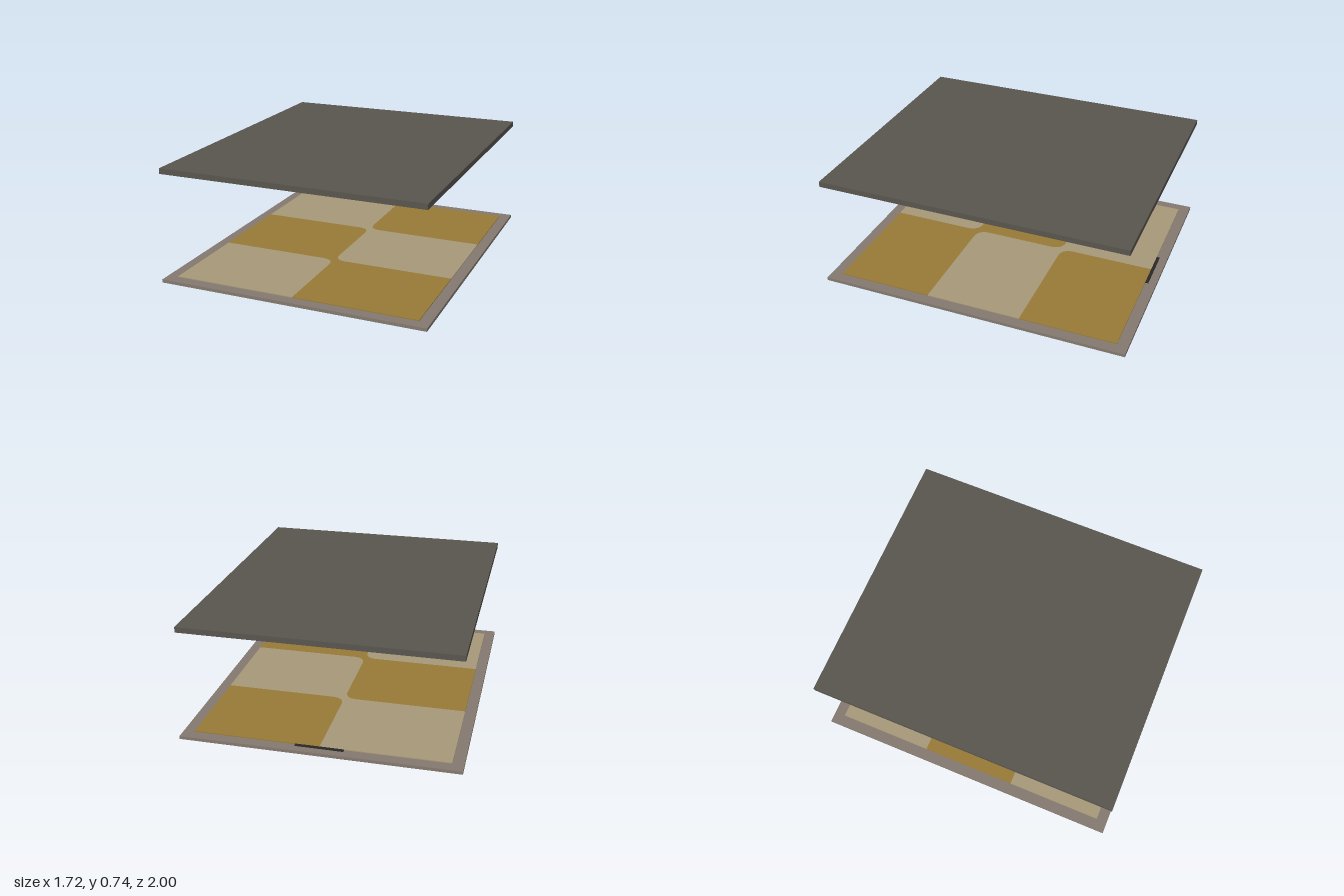
import * as THREE from 'three';

const mat = (name, color) => {
  const m = new THREE.MeshStandardMaterial({ color });
  m.name = name;
  return m;
};

export function createModel() {
  const model = new THREE.Group();
  const coverGrey = mat('cover grey', 0x5a5650);
  const baseGrey = mat('base grey', 0x857a70);
  const gold = mat('gold', 0x997b38);
  const beige = mat('beige', 0xa8997a);
  const cream = mat('cream', 0xbfb296);
  const black = mat('black', 0x2a2826);

  const add = (name, geometry, material) => {
    const mesh = new THREE.Mesh(geometry, material);
    mesh.name = name;
    model.add(mesh);
    return mesh;
  };
  // Box given by half width, half depth and its bottom and top heights
  const slab = (name, hx, hz, y0, y1, material, z = 0) =>
    add(name, new THREE.BoxGeometry(hx * 2, y1 - y0, hz * 2), material)
      .position.set(0, (y0 + y1) / 2, z);

  // Lower base and floating cover
  slab('base', 0.86, 1, 0, 0.02, baseGrey);
  slab('cover', 0.84, 0.98, 0.7, 0.735, coverGrey);
  slab('coverLiner', 0.78, 0.92, 0.685, 0.7, cream);
  slab('linerBar', 0.11, 0.025, 0.675, 0.685, cream);
  slab('rearTab', 0.15, 0.01, 0.02, 0.025, black, -0.94);

  // Two-by-three chequered inlay: front is at negative shape y
  const W = 0.79, D = 0.93, c = 0.31, r = 0.085;

  // Two diagonal cells joined by a narrow neck
  const joined = new THREE.Shape();
  joined.moveTo(0, -D);
  joined.lineTo(W, -D);
  joined.lineTo(W, -c);
  joined.lineTo(r, -c);
  joined.quadraticCurveTo(0, -c, 0, -c + r);
  joined.lineTo(0, c - r);
  joined.quadraticCurveTo(0, c, -r, c);
  joined.lineTo(-W, c);
  joined.lineTo(-W, -c);
  joined.lineTo(-r, -c);
  joined.quadraticCurveTo(0, -c, 0, -c - r);
  joined.closePath();

  // Single cell with one rounded inner corner
  const single = new THREE.Shape();
  single.moveTo(r, c);
  single.lineTo(W, c);
  single.lineTo(W, D);
  single.lineTo(0, D);
  single.lineTo(0, c + r);
  single.quadraticCurveTo(0, c, r, c);

  // The beige half is the gold half turned by 180 degrees
  [[gold, 0, 'gold'], [beige, Math.PI, 'beige']].forEach(([material, turn, label]) => {
    [[joined, 'JoinedCells'], [single, 'CornerCell']].forEach(([shape, part]) => {
      const g = new THREE.ExtrudeGeometry(shape, { depth: 0.005, bevelEnabled: false, curveSegments: 10 });
      g.rotateX(-Math.PI / 2).rotateY(turn).translate(0, 0.02, 0);
      add(label + part, g, material);
    });
  });

  return model;
}
